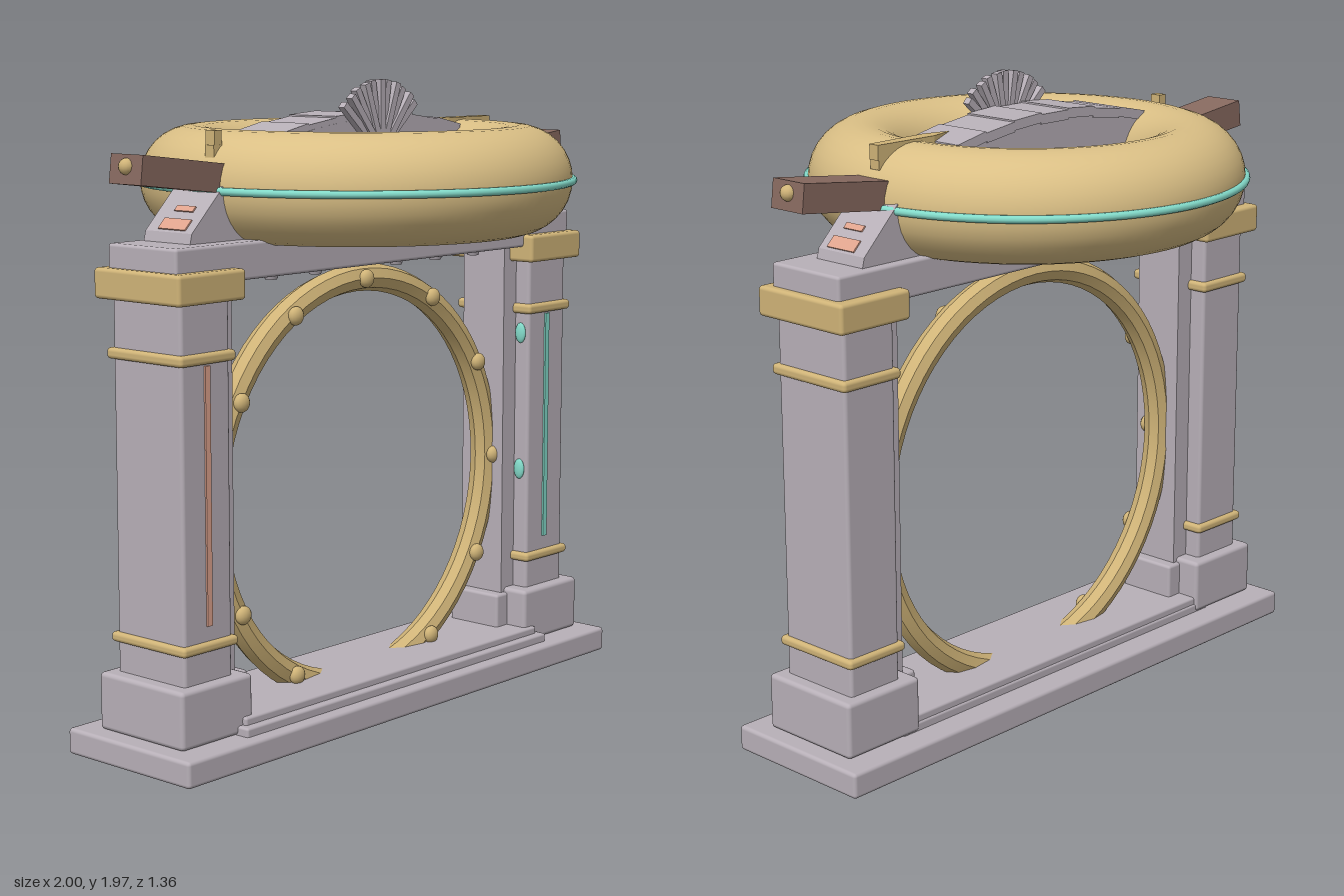
import * as THREE from 'three';
import { toCreasedNormals } from 'three/addons/utils/BufferGeometryUtils.js';
import { RoundedBoxGeometry } from 'three/addons/geometries/RoundedBoxGeometry.js';

const paint = (name, color) => {
  const m = new THREE.MeshStandardMaterial({ color });
  m.name = name;
  return m;
};

export function createModel() {
  const stone = paint('stone', 0xb8b0b8);
  const gold = paint('pale gold', 0xdabf85);
  const trim = paint('trim gold', 0xd0b478);
  const brown = paint('brown', 0x886a60);
  const teal = paint('teal', 0x84dccb);
  const salmon = paint('salmon', 0xe0a48e);

  const model = new THREE.Group();
  model.name = 'archGate';
  const add = (name, geo, mat, x = 0, y = 0, z = 0, parent = model) => {
    const mesh = new THREE.Mesh(geo, mat);
    mesh.name = name;
    mesh.position.set(x, y, z);
    parent.add(mesh);
    return mesh;
  };
  // Box given by its limits, with softly bevelled edges when r > 0
  const box = (name, mat, [x0, x1], [y0, y1], [z0, z1], r = 0, parent = model) => {
    const s = [x1 - x0, y1 - y0, z1 - z0];
    const geo = r ? new RoundedBoxGeometry(...s, 2, r) : new THREE.BoxGeometry(...s);
    return add(name, geo, mat, (x0 + x1) / 2, (y0 + y1) / 2, (z0 + z1) / 2, parent);
  };

  // Base and floor
  box('baseSlab', stone, [-1, 1], [0, 0.08], [-0.255, 0.255], 0.012);
  box('basePanel', brown, [-0.92, 0.92], [-0.002, 0.004], [-0.18, 0.18]);
  box('floorStep', stone, [-0.72, 0.72], [0.07, 0.107], [-0.17, 0.215], 0.008);
  box('floor', stone, [-0.7, 0.7], [0.08, 0.13], [-0.165, 0.19], 0.008);

  // Pillars with their inner jambs
  for (const s of [-1, 1]) {
    const side = new THREE.Group();
    side.name = s > 0 ? 'leftPillar' : 'rightPillar';
    model.add(side);
    const part = (name, mat, a, b, y, z, r) =>
      box(name, mat, s > 0 ? [a, b] : [-b, -a], y, [-z, z], r, side);
    part('plinth', stone, 0.655, 0.945, [0.08, 0.255], 0.175, 0.014);
    part('shaft', stone, 0.705, 0.9, [0.24, 1.38], 0.14, 0.012);
    part('lowerBand', trim, 0.69, 0.915, [0.345, 0.375], 0.155, 0.012);
    part('upperBand', trim, 0.69, 0.915, [1.185, 1.218], 0.155, 0.012);
    part('capital', trim, 0.67, 0.94, [1.36, 1.45], 0.176, 0.012);
    part('jamb', stone, 0.64, 0.72, [0.1, 1.43], 0.085, 0);
    part('jambFoot', stone, 0.6, 0.68, [0.1, 0.24], 0.1, 0.01);
    const strip = s > 0 ? teal : salmon;
    box('lightStrip', strip, [s * 0.8 - 0.01, s * 0.8 + 0.01], [0.42, 1.18], [0.138, 0.146], 0, side);
    // Glowing studs on the inner face
    for (const y of s > 0 ? [0.66, 1.12] : [0.44, 0.9]) {
      const stud = add('tealStud', new THREE.SphereGeometry(0.034, 16, 10), teal, s * 0.702, y, 0.108, side);
      stud.scale.set(0.3, 1, 0.6);
    }
  }

  // Round portal ring with bosses on the front
  const ringGeo = new THREE.TorusGeometry(0.645, 0.043, 8, 72).toNonIndexed();
  add('portalRing', toCreasedNormals(ringGeo, 0.5), trim, 0, 0.71, 0);
  for (let i = 0; i < 12; i++) {
    if (i === 9) continue;
    const a = (i * Math.PI) / 6;
    const boss = add('ringBoss', new THREE.SphereGeometry(0.029, 14, 10), trim,
      0.645 * Math.cos(a), 0.71 + 0.645 * Math.sin(a), 0.043);
    boss.scale.z = 0.7;
  }

  // Lintel with studs below and a round table on top
  box('lintel', stone, [-0.915, 0.915], [1.41, 1.52], [-0.14, 0.14], 0.01);
  for (const x of [-0.58, -0.385, -0.19, 0.19, 0.385, 0.58]) {
    add('lintelStud', new THREE.CylinderGeometry(0.034, 0.034, 0.012, 16), stone, x, 1.404, 0);
    add('lintelStudTip', new THREE.CylinderGeometry(0.024, 0.018, 0.016, 16), stone, x, 1.39, 0);
  }
  add('roundTable', new THREE.CylinderGeometry(0.2, 0.2, 0.05, 40), stone, 0, 1.535, 0);

  // Arched crest: sloping ends and a curved top
  const archY = (x) => 1.85 - 0.3 * x * x;
  const outline = [[-0.8, 1.51], [0.8, 1.51], [0.79, 1.55], [0.65, 1.69], [0.43, 1.78]];
  for (let i = 0; i <= 12; i++) {
    const x = 0.41 - (i * 0.82) / 12;
    outline.push([x, archY(x)]);
  }
  outline.push([-0.43, 1.78], [-0.65, 1.69], [-0.79, 1.55]);
  const crestShape = new THREE.Shape(outline.map((p) => new THREE.Vector2(...p)));
  add('crest', new THREE.ExtrudeGeometry(crestShape, { depth: 0.19, bevelEnabled: false }), stone, 0, 0, -0.113);
  box('crestPanel', brown, [-0.2, 0.2], [1.59, 1.65], [0.076, 0.085]);
  for (let i = 0; i < 7; i++) {
    const x = (i - 3) * 0.118;
    const slat = add('crestSlat', new THREE.BoxGeometry(0.12, 0.03, 0.193), stone,
      x, archY(x) + (i % 2 ? 0.001 : 0.006), -0.02);
    slat.rotation.z = Math.atan(-0.6 * x);
  }

  // Fan ornament
  const fan = new THREE.Group();
  fan.name = 'fan';
  fan.position.set(0, 1.75, 0.095);
  model.add(fan);
  for (let i = 0; i < 11; i++) {
    const a = ((i - 5) / 5) * 0.84;
    const blade = add('fanBlade', new THREE.BoxGeometry(0.022, 0.19, 0.024), stone,
      Math.sin(a) * 0.125, Math.cos(a) * 0.125, i % 2 ? 0.004 : -0.004, fan);
    blade.rotation.z = -a;
  }
  add('fanGem', new THREE.SphereGeometry(0.034, 20, 14), teal, 0, 0, 0.022, fan);

  // Great horizontal ring with a thin glowing band
  const great = add('greatRing', new THREE.TorusGeometry(0.502, 0.166, 32, 96), gold, 0, 1.665, 0);
  great.rotation.x = Math.PI / 2;
  const band = add('greatRingBand', new THREE.TorusGeometry(0.67, 0.012, 10, 96), teal, 0, 1.663, 0);
  band.rotation.x = Math.PI / 2;

  // Clasp seen from above: a bar that narrows to a point at the inner end
  const claspShape = new THREE.Shape();
  claspShape.moveTo(0.33, 0);
  claspShape.lineTo(0.42, -0.024);
  claspShape.lineTo(0.64, -0.018);
  claspShape.lineTo(0.64, 0.018);
  claspShape.lineTo(0.42, 0.024);
  claspShape.closePath();
  const claspGeo = new THREE.ExtrudeGeometry(claspShape, { depth: 0.045, bevelEnabled: false });

  // Side beams, gold clasps and vents at each end
  for (const s of [-1, 1]) {
    const beam = new THREE.Group();
    beam.name = s > 0 ? 'leftBeam' : 'rightBeam';
    beam.position.set(s * 0.79, 1.717, 0);
    beam.rotation.z = s * 0.12;
    model.add(beam);
    add('beam', new THREE.BoxGeometry(0.36, 0.085, 0.13), brown, 0, 0, 0, beam);
    add('beamKnob', new THREE.SphereGeometry(0.024, 16, 10), trim, s * 0.178, 0.008, 0, beam);
    const clasp = add('clasp', claspGeo, trim, 0, s > 0 ? 1.838 : 1.793, 0);
    clasp.rotation.set(s * Math.PI / 2, s > 0 ? 0 : Math.PI, 0);
    add('claspEnd', new THREE.BoxGeometry(0.03, 0.07, 0.036), trim, s * 0.622, 1.8, 0);
    // Vents lie on the 45 degree end slopes
    for (const [x, y, w, h] of [[0.77, 1.57, 0.11, 0.04], [0.728, 1.612, 0.075, 0.02]]) {
      const vent = add('vent', new THREE.BoxGeometry(0.009, h, w), salmon, s * x, y, -0.01);
      vent.rotation.z = s * Math.PI / 4;
    }
  }
  return model;
}
